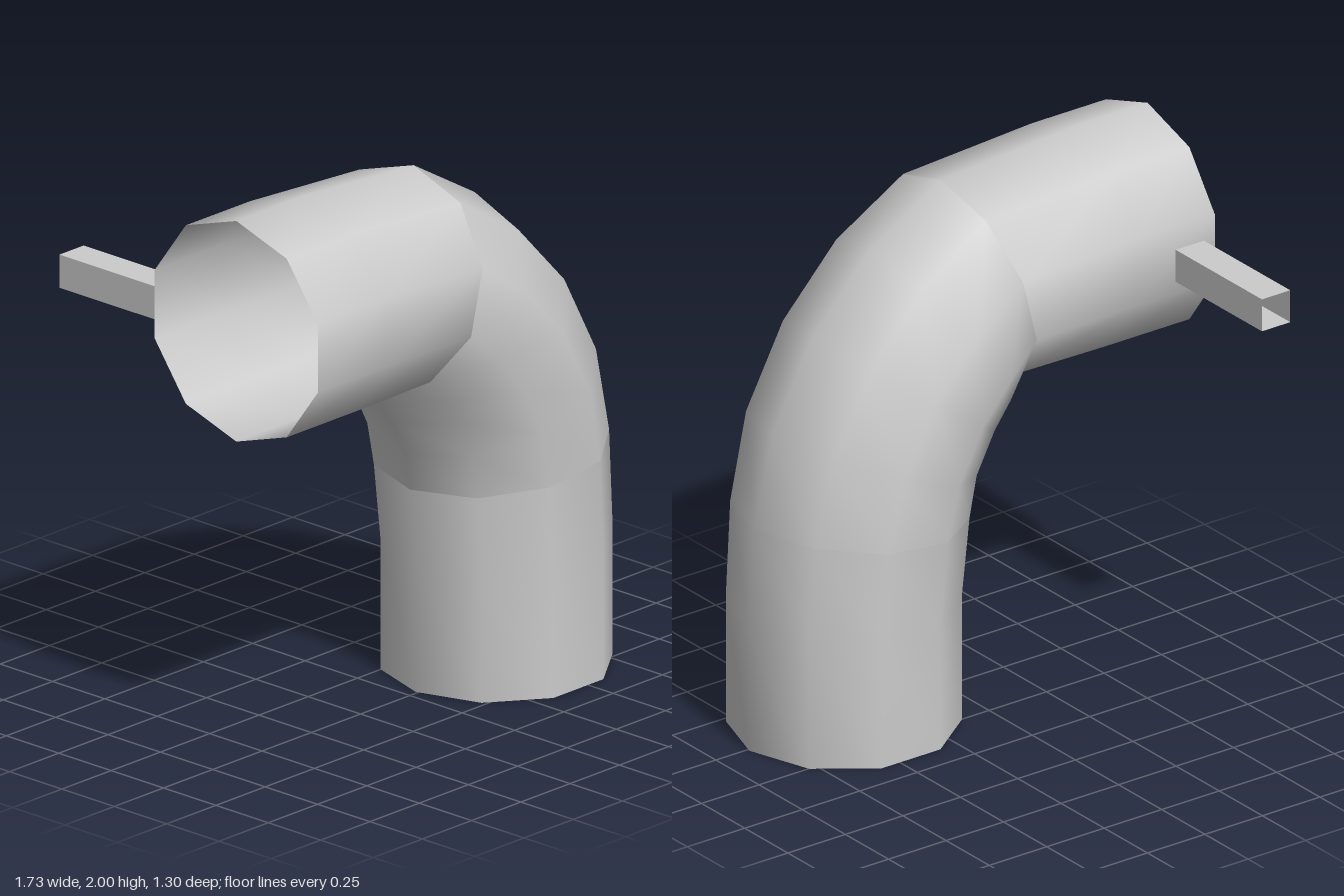
import * as THREE from 'three';

const SIDES = 10;
const CENTRE_Z = 0.24;
const material = new THREE.MeshStandardMaterial({ color: 0xcccccc, side: THREE.DoubleSide });

// Each ring: outer point x, y; inner point x, y; half width along z
const inletRings = [
  [-0.87, 2.0, -0.87, 1.18, 0.41],
  [-0.55, 2.0, -0.5, 1.18, 0.41],
  [0.03, 1.96, -0.16, 1.19, 0.411],
];
const elbowRings = [
  inletRings[2],
  [0.34, 1.775, -0.13, 1.11, 0.428],
  [0.59, 1.51, -0.08, 1.035, 0.43],
  [0.76, 1.19, -0.01, 0.9, 0.43],
  [0.84, 0.85, 0.01, 0.76, 0.418],
];
const outletRings = [
  elbowRings[4],
  [0.862, 0.48, 0.04, 0.48, 0.41],
  [0.862, 0, 0.04, 0, 0.41],
];

// Open-ended skin through a row of rings
function pipeSection(name, rings) {
  const positions = [];
  const indices = [];
  rings.forEach(([ox, oy, ix, iy, halfWidth], r) => {
    for (let i = 0; i < SIDES; i++) {
      const a = (i / SIDES) * Math.PI * 2;
      const t = (1 - Math.cos(a)) / 2;
      positions.push(
        ox + (ix - ox) * t,
        oy + (iy - oy) * t,
        CENTRE_Z + halfWidth * Math.sin(a),
      );
      if (r === rings.length - 1) continue;
      const p = r * SIDES + i;
      const q = r * SIDES + ((i + 1) % SIDES);
      indices.push(p, q, p + SIDES, q, q + SIDES, p + SIDES);
    }
  });
  const geometry = new THREE.BufferGeometry();
  geometry.setAttribute('position', new THREE.Float32BufferAttribute(positions, 3));
  geometry.setIndex(indices);
  geometry.computeVertexNormals();
  const mesh = new THREE.Mesh(geometry, material);
  mesh.name = name;
  return mesh;
}

export function createModel() {
  const group = new THREE.Group();
  group.name = 'pipeElbow';

  group.add(
    pipeSection('horizontalPipe', inletRings),
    pipeSection('elbowBend', elbowRings),
    pipeSection('verticalPipe', outletRings),
  );

  // Hollow square bracket reaching back from the horizontal pipe
  const radius = 0.0615 * Math.SQRT2;
  const bracketGeometry = new THREE.CylinderGeometry(radius, radius, 0.5, 4, 1, true, Math.PI / 4);
  bracketGeometry.rotateX(Math.PI / 2);
  const bracketMaterial = material.clone();
  bracketMaterial.flatShading = true;
  const bracket = new THREE.Mesh(bracketGeometry, bracketMaterial);
  bracket.name = 'wallBracket';
  bracket.position.set(-0.76, 1.57, -0.4);
  group.add(bracket);

  return group;
}
